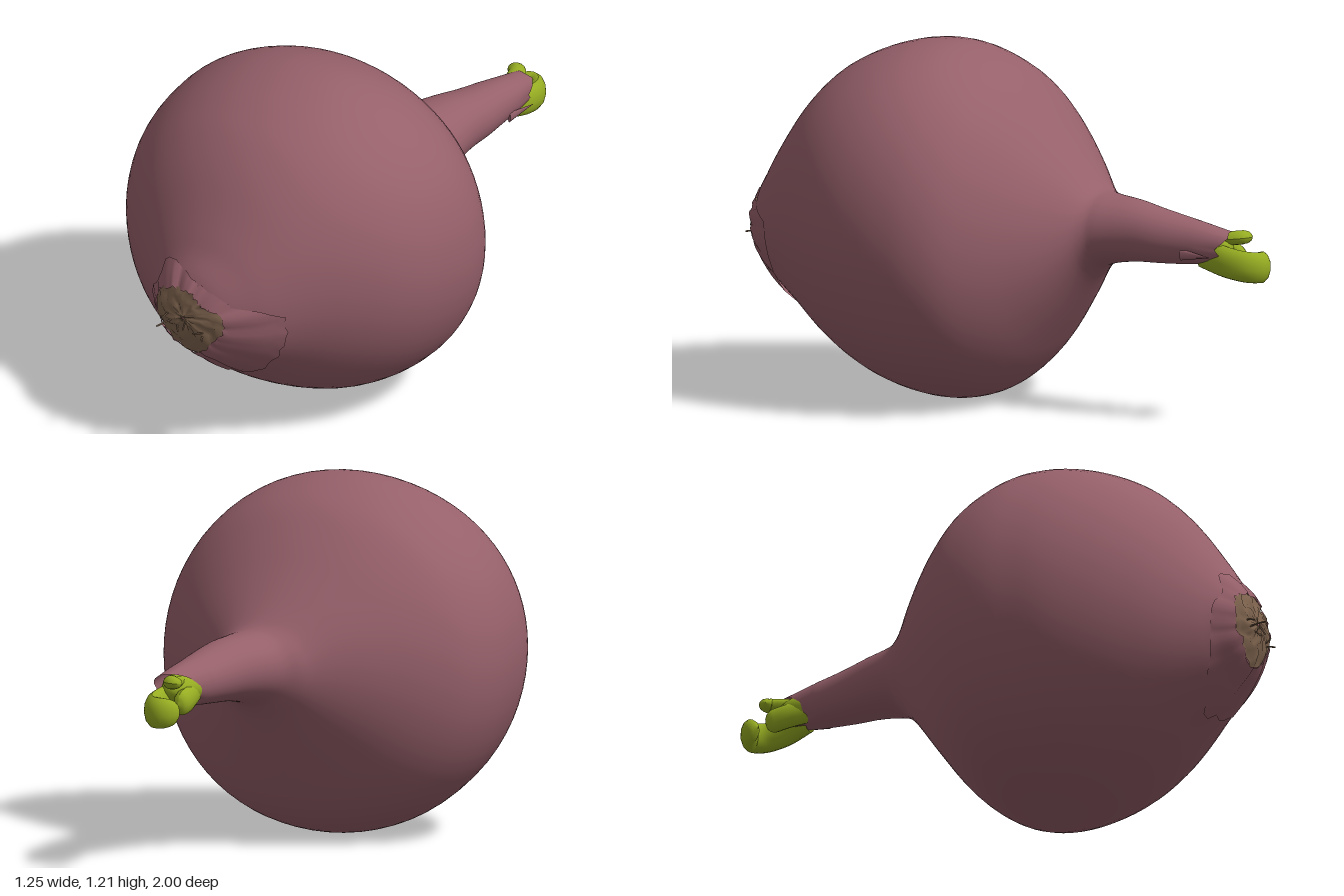
import * as THREE from 'three';

// Cross-sections along the bulb: z, top, bottom, right (-x), left (+x)
const SECTIONS = [
  [0.935, 0.56, 0.56, 0, 0], [0.925, 0.63, 0.49, -0.08, 0.09], [0.9, 0.7, 0.425, -0.13, 0.15],
  [0.85, 0.77, 0.375, -0.19, 0.225], [0.8, 0.85, 0.325, -0.26, 0.285], [0.7, 0.995, 0.245, -0.395, 0.385],
  [0.6, 1.095, 0.165, -0.49, 0.475], [0.5, 1.155, 0.1, -0.555, 0.545], [0.4, 1.193, 0.05, -0.597, 0.59],
  [0.3, 1.213, 0.018, -0.617, 0.613], [0.2, 1.21, 0.002, -0.625, 0.62], [0.1, 1.18, 0.008, -0.61, 0.61],
  [0, 1.125, 0.045, -0.567, 0.57], [-0.1, 1.03, 0.13, -0.482, 0.485], [-0.2, 0.915, 0.265, -0.36, 0.37],
  [-0.3, 0.8, 0.41, -0.215, 0.235], [-0.35, 0.757, 0.47, -0.155, 0.19], [-0.4, 0.745, 0.505, -0.105, 0.18],
  [-0.5, 0.735, 0.525, -0.06, 0.17], [-0.6, 0.715, 0.53, -0.03, 0.165], [-0.7, 0.695, 0.535, -0.01, 0.155],
  [-0.78, 0.68, 0.54, 0, 0.15], [-0.87, 0.66, 0.55, 0.01, 0.14],
];
const LAST = SECTIONS.length - 1;
const spline = new THREE.CubicInterpolant(SECTIONS.map((_, i) => i), SECTIONS.flat(), 5);

// Point on the bulb: u counts sections from the root, a is the angle round z
function surface(u, a, lift = 0) {
  const [z, t, b, r, l] = spline.evaluate(u);
  const c = Math.cos(a), s = Math.sin(a), s2 = Math.sin(2 * a);
  const k = 1 + 0.01 * s2 * s2 + 0.02 * s2 * Math.max(0, s); // slightly lopsided
  return new THREE.Vector3(
    (l + r) / 2 + ((l - r) / 2 * k + lift) * c,
    (t + b) / 2 + ((t - b) / 2 * k + lift) * s, z);
}

function seeded(seed) {
  return () => {
    seed = (seed * 16807) % 2147483647;
    return seed / 2147483647;
  };
}

// Closed rings from f(v 0..1, angle, column), running from front to back
function rings(f, rows, cols) {
  const pos = [], idx = [];
  for (let i = 0; i <= rows; i++) {
    for (let j = 0; j < cols; j++) {
      pos.push(...f(i / rows, (j / cols) * Math.PI * 2, j).toArray());
      if (i === rows) continue;
      const a = i * cols + j, b = i * cols + ((j + 1) % cols);
      idx.push(a, a + cols, b, b, a + cols, b + cols);
    }
  }
  const g = new THREE.BufferGeometry();
  g.setAttribute('position', new THREE.Float32BufferAttribute(pos, 3));
  g.setIndex(idx);
  g.computeVertexNormals();
  return g;
}

// Linear lookup round a closed list of values
function around(list, a) {
  const x = (a / (Math.PI * 2)) * list.length, i = Math.floor(x);
  return THREE.MathUtils.lerp(list[i % list.length], list[(i + 1) % list.length], x - i);
}

// Tube with a rounded tip; squash stretches it in y
function shoot(points, radius, squash) {
  const curve = new THREE.CatmullRomCurve3(points.map(p => new THREE.Vector3(...p)));
  const N = 28, M = 12, g = new THREE.TubeGeometry(curve, N, radius, M);
  const p = g.attributes.position, v = new THREE.Vector3();
  for (let i = 0; i <= N; i++) {
    const t = i / N, c = curve.getPointAt(t);
    const w = Math.sqrt(Math.max(0, 1 - Math.max(0, (t - 0.75) / 0.25) ** 2));
    for (let j = 0; j <= M; j++) {
      const n = i * (M + 1) + j;
      v.fromBufferAttribute(p, n).sub(c).multiplyScalar(w);
      v.y *= squash;
      v.add(c);
      p.setXYZ(n, v.x, v.y, v.z);
    }
  }
  g.computeVertexNormals();
  return g;
}

export function createModel() {
  const group = new THREE.Group();
  const mat = (name, color) =>
    new THREE.MeshStandardMaterial({ name, color, side: THREE.DoubleSide });
  const skin = mat('mauve skin', 0x96606a);
  const brown = mat('root brown', 0x80654f);
  const green = mat('shoot green', 0x97ad22);
  const add = (name, geometry, material) => {
    const m = new THREE.Mesh(geometry, material);
    m.name = name;
    group.add(m);
    return m;
  };
  const rand = seeded(71);

  // Bulb and neck in one skin, with a ragged rim where the neck ends
  const rim = Array.from({ length: 16 }, (_, i) =>
    -0.82 - 0.05 * Math.cos((i / 16) * Math.PI * 2 - 0.7) - 0.05 * (rand() - 0.5));
  add('bulb', rings((v, a) => {
    const p = surface(v * LAST, a);
    if (p.z < -0.7) p.z = -0.7 + ((p.z + 0.7) / -0.17) * (around(rim, a) + 0.7);
    return p;
  }, LAST * 4, 72), skin);

  // Rough root plate, its edge given by angle
  const edge = [1.9, 1.7, 1.0, 1.1, 1.35, 1.4, 1.6, 1.9, 1.8, 1.8, 1.6, 1.75, 2.0, 1.85, 1.6, 1.7];
  add('rootPlate', rings((v, a) => {
    const p = surface(v * (around(edge, a) + 0.1), a, 0.004);
    p.z += 0.009 + (v > 0 ? (rand() - 0.5) * 0.014 : 0);
    return p;
  }, 6, 36), brown);

  // Torn layer of dry skin round the root plate
  const torn = [4.2, 2.3, 1.9, 1.75, 1.8, 2.4, 2.9, 2.4, 2.8, 3.0, 3.3, 4.1, 4.6, 4.5, 4.4, 4.3];
  const fray = Array.from({ length: 60 }, () => (rand() - 0.5) * 0.24);
  add('tornSkin', rings((v, a, j) => {
    const inner = around(edge, a) + fray[(j * 7) % 60];
    const outer = Math.max(inner + 0.3, around(torn, a) + fray[j]);
    const p = surface(THREE.MathUtils.lerp(inner, outer, v), a, 0.007);
    p.z += 0.012 * (1 - v) + 0.05 * fray[j];
    return p;
  }, 8, 60), skin);

  // Dry root hairs
  for (let i = 0; i < 6; i++) {
    const x = -0.08 + 0.17 * rand(), y = 0.5 + 0.1 * rand();
    const reach = i === 0 ? 1 : 0.95 + rand() * 0.03;
    const hair = new THREE.CatmullRomCurve3([
      new THREE.Vector3(x, y, 0.915),
      new THREE.Vector3(x + 0.02 * (rand() - 0.5), y + 0.01, (0.92 + reach) / 2),
      new THREE.Vector3(x + 0.05 * (rand() - 0.5), y + 0.05 * (rand() - 0.5), reach),
    ]);
    add('rootHair', new THREE.TubeGeometry(hair, 8, 0.003, 5), brown);
  }

  // Green core closing the neck
  const core = add('shootCore', new THREE.SphereGeometry(1, 24, 16), green);
  core.scale.set(0.066, 0.056, 0.11);
  core.position.set(0.073, 0.603, -0.76);

  // Curled main shoot, and two small ones beside it
  add('curledShoot', shoot([[0.08, 0.58, -0.76], [0.108, 0.56, -0.86], [0.098, 0.547, -0.935],
    [0.065, 0.543, -0.968], [0.028, 0.543, -0.955], [0.008, 0.545, -0.915]], 0.031, 1.75), green);
  add('upperShoot', shoot([[0.065, 0.62, -0.76], [0.065, 0.632, -0.84], [0.045, 0.638, -0.895],
    [0.01, 0.635, -0.89]], 0.03, 0.8), green);
  add('sideShoot', shoot([[0.045, 0.59, -0.75], [0.028, 0.575, -0.82], [0.024, 0.56, -0.895]], 0.029, 1.5), green);

  // Loose sliver of skin at the neck
  const sliver = add('skinSliver', new THREE.ConeGeometry(0.02, 0.12, 6), skin);
  sliver.scale.x = 0.4;
  sliver.rotation.set(-Math.PI / 2, 0, -0.12);
  sliver.position.set(0.155, 0.58, -0.77);

  return group;
}
